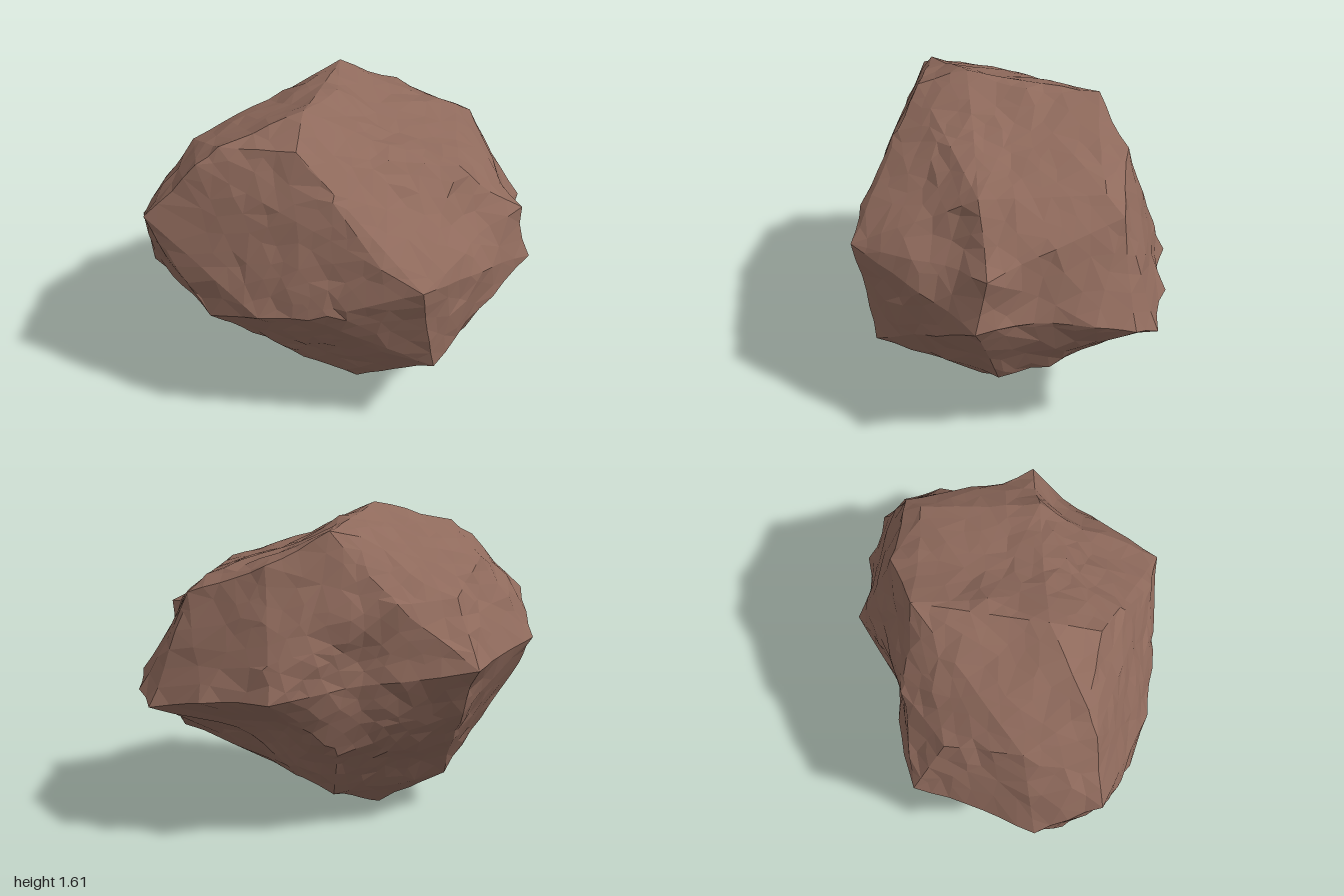
import * as THREE from 'three';
import { ConvexGeometry } from 'three/addons/geometries/ConvexGeometry.js';

const CENTRE = new THREE.Vector3(0, 0.8, 0);

// Corners of the broad chipped faces
const CORNERS = [
  // crest and upper faces
  [-0.15, 1.61, 0.19], [-0.17, 1.53, 0.44], [0, 1.57, -0.1], [0, 1.54, -0.47],
  [-0.55, 1.5, 0.36], [-0.66, 1.42, 0.4], [-0.5, 1.34, -0.2], [-0.72, 1.35, 0.05],
  [0.62, 1.31, 0.18], [0.62, 1.31, -0.43], [0.3, 1.38, -0.58], [0.7, 1.23, -0.51],
  // front
  [0.25, 1.08, 0.75], [0.45, 0.98, 0.8], [0.52, 0.45, 0.7], [-0.1, 0.77, 0.76], [-0.35, 0.74, 0.72],
  [-0.6, 0.67, 0.62], [-0.93, 1.13, 0.43], [-0.82, 0.93, 0.49],
  // +x side
  [0.95, 1.06, 0.16], [1, 0.8, 0.22], [0.82, 0.4, 0.1], [0.82, 0.45, -0.15], [0.68, 0.32, 0.17],
  [0.98, 0.8, -0.35], [0.95, 0.74, -0.55], [0.87, 0.68, -0.67],
  // -x side
  [-1, 0.92, 0.1], [-0.93, 0.74, 0.25], [-0.87, 0.67, 0.2],
  [-0.62, 1.2, -0.33], [-0.74, 0.87, -0.5], [-0.66, 0.62, -0.38],
  // back
  [-0.34, 1.2, -0.54], [-0.12, 1.12, -0.59], [0.1, 0.94, -0.67], [0.3, 1.12, -0.66],
  [0.28, 0.9, -0.72], [0.25, 0.74, -0.8], [0.6, 0.73, -0.75], [-0.05, 0.43, -0.55],
  // underside
  [-0.2, 0, 0.04], [0.38, 0.16, 0.24], [0.13, 0.155, 0.45], [-0.55, 0.18, 0.03],
  [0, 0.15, -0.32], [-0.15, 0.28, 0.46],
].map((p) => new THREE.Vector3(...p).sub(CENTRE));

// Shallow hollows: x, y, z, depth, width
const HOLLOWS = [
  [-0.15, 0.84, -0.67, 0.08, 0.24],
  [0.95, 0.9, -0.05, 0.08, 0.22],
  [0.45, 0.52, -0.58, 0.1, 0.28],
  [0.65, 0.55, -0.45, 0.06, 0.2],
  [0.22, 1.47, -0.1, 0.04, 0.25],
  [0.74, 1.08, 0.34, 0.07, 0.18],
].map(([x, y, z, depth, width]) => ({ at: new THREE.Vector3(x, y, z).sub(CENTRE), depth, width }));

// Repeatable value in 0..1 for a position
function hash(v) {
  const s = Math.sin(v.x * 127.1 + v.y * 311.7 + v.z * 74.7) * 43758.5453;
  return s - Math.floor(s);
}

// Planes and edge samples of the faceted block
function analyseBlock(points) {
  const pos = new ConvexGeometry(points).getAttribute('position');
  const planes = [], edgePoints = [];
  for (let i = 0; i < pos.count; i += 3) {
    const tri = [0, 1, 2].map((k) => new THREE.Vector3().fromBufferAttribute(pos, i + k));
    planes.push(new THREE.Plane().setFromCoplanarPoints(...tri));
    tri.forEach((a, k) => {
      const b = tri[(k + 1) % 3];
      if (a.x > b.x) return; // each shared edge only once
      const steps = Math.ceil(a.distanceTo(b) / 0.1);
      for (let s = 1; s < steps; s++) edgePoints.push(a.clone().lerp(b, s / steps));
    });
  }
  return { planes, edgePoints };
}

// Distance from the centre to the block's surface
function blockRadius(dir, planes) {
  let r = Infinity;
  for (const p of planes) {
    const d = p.normal.dot(dir);
    if (d > 1e-4) r = Math.min(r, -p.constant / d);
  }
  return r;
}

function createRockGeometry() {
  const { planes, edgePoints } = analyseBlock(CORNERS);
  const edges = [...CORNERS, ...edgePoints].map((p) => p.clone().normalize());
  const directions = [...edges];

  // Irregular scatter over the faces, kept clear of the edges
  const count = 900;
  for (let i = 0; i < count; i++) {
    const y = 1 - (2 * (i + 0.5)) / count, a = i * 2.399963, r = Math.sqrt(1 - y * y);
    const d = new THREE.Vector3(Math.cos(a) * r, y, Math.sin(a) * r);
    const j = new THREE.Vector3(hash(d) - 0.5, hash(d.clone().addScalar(1)) - 0.5, hash(d.clone().addScalar(2)) - 0.5);
    d.addScaledVector(j, 0.07).normalize();
    if (edges.every((e) => e.distanceTo(d) > 0.06)) directions.push(d);
  }

  // Triangulate the directions, then push each one out to the chipped surface
  const geometry = new ConvexGeometry(directions);
  const pos = geometry.getAttribute('position');
  const v = new THREE.Vector3(), p = new THREE.Vector3();
  for (let i = 0; i < pos.count; i++) {
    v.fromBufferAttribute(pos, i);
    const r = blockRadius(v, planes);
    p.copy(v).multiplyScalar(r);
    const wave = Math.sin(p.x * 7 + p.y * 4) * Math.sin(p.y * 8 - p.z * 5) * Math.sin(p.z * 7 + p.x * 3);
    let dent = 0.018 * hash(v) + 0.014 * wave;
    for (const h of HOLLOWS) dent += h.depth * Math.exp(-p.distanceToSquared(h.at) / (h.width * h.width));
    // wear fades out at the corners
    const fade = Math.min(1, Math.min(...CORNERS.map((c) => c.distanceTo(p))) / 0.12);
    v.multiplyScalar(r - fade * dent).add(CENTRE);
    pos.setXYZ(i, v.x, v.y, v.z);
  }
  geometry.computeVertexNormals();
  return geometry;
}

export function createModel() {
  const group = new THREE.Group();
  group.name = 'rock';
  const material = new THREE.MeshStandardMaterial({ color: 0x8f6a5c, flatShading: true });
  const boulder = new THREE.Mesh(createRockGeometry(), material);
  boulder.name = 'boulder';
  group.add(boulder);
  return group;
}
